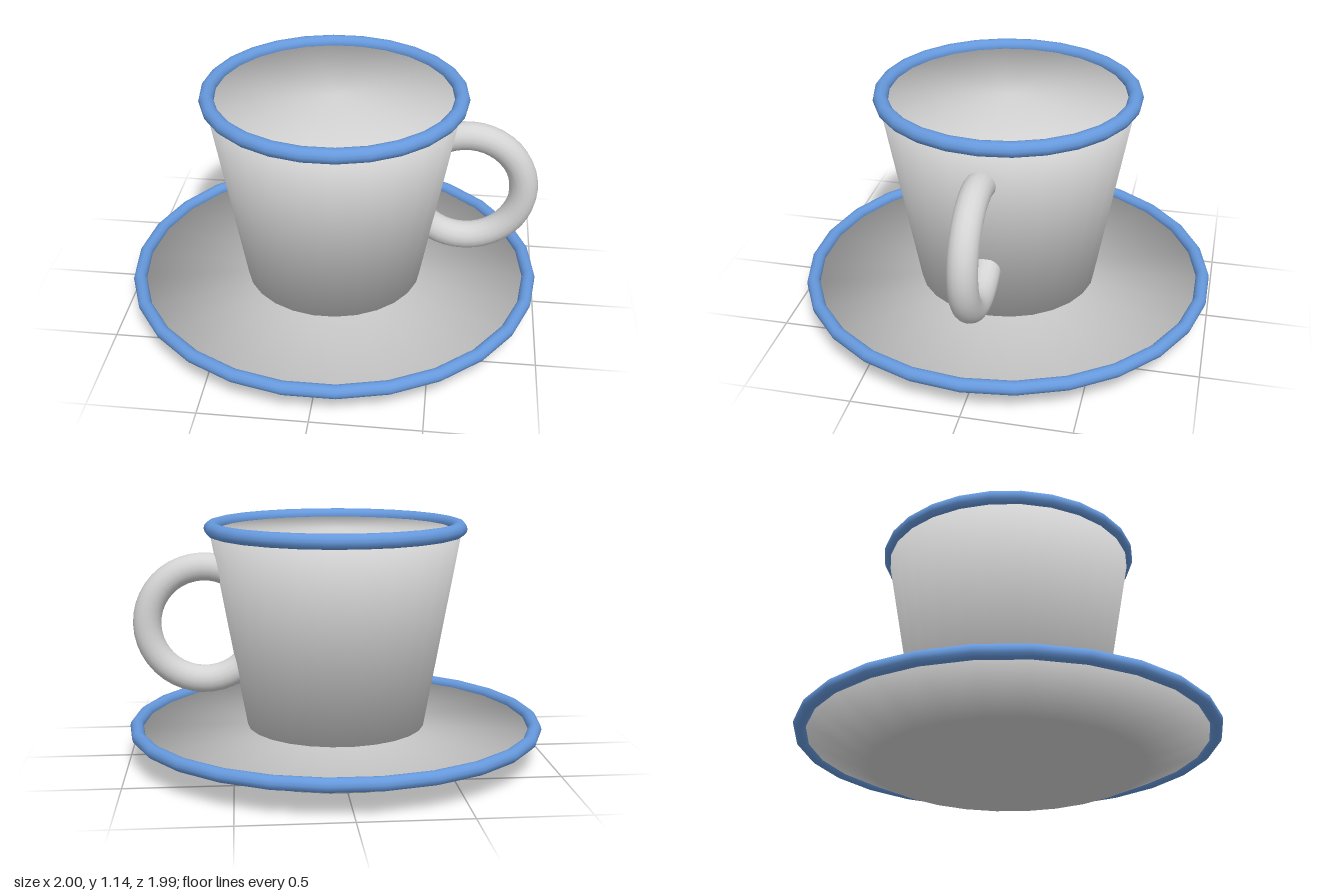
import * as THREE from 'three';

const SEGMENTS = 26;

// Solid tapered body whose rim normals blend between side and cap, for soft edges.
function softFrustum(topRadius, bottomRadius, y0, y1) {
  const height = y1 - y0;
  const geo = new THREE.CylinderGeometry(topRadius, bottomRadius, height, SEGMENTS);
  const pos = geo.attributes.position;
  const side = new THREE.Vector2(height, bottomRadius - topRadius).normalize();
  const n = new THREE.Vector3();
  for (let i = 0; i < pos.count; i++) {
    const x = pos.getX(i), z = pos.getZ(i), r = Math.hypot(x, z);
    const cap = Math.sign(pos.getY(i));
    if (r < 1e-6) n.set(0, cap, 0);
    else n.set((x / r) * side.x, side.y + 0.92 * cap, (z / r) * side.x).normalize();
    geo.attributes.normal.setXYZ(i, n.x, n.y, n.z);
  }
  // Line the corners up with those of the rims
  geo.rotateY(Math.PI / 2);
  geo.translate(0, (y0 + y1) / 2, 0);
  return geo;
}

// Horizontal rounded ring
function ring(radius, tube, y) {
  const geo = new THREE.TorusGeometry(radius, tube, 12, SEGMENTS);
  geo.rotateX(Math.PI / 2);
  geo.translate(0, y, 0);
  return geo;
}

export function createModel() {
  const model = new THREE.Group();
  model.name = 'cupAndSaucer';

  const china = new THREE.MeshStandardMaterial({ color: 0xd4d4d4 });
  china.name = 'china';
  const blue = new THREE.MeshStandardMaterial({ color: 0x6699dd });
  blue.name = 'blueGlaze';

  const add = (name, geometry, material) => {
    const mesh = new THREE.Mesh(geometry, material);
    mesh.name = name;
    model.add(mesh);
    return mesh;
  };

  // Saucer
  add('saucer', softFrustum(0.965, 0.65, 0, 0.145), china);
  add('saucerRim', ring(0.968, 0.032, 0.15), blue);

  // Cup
  add('cup', softFrustum(0.6, 0.43, 0.14, 1.1), china);
  add('cupRim', ring(0.59, 0.035, 1.105), blue);

  // Handle, an open ring whose ends sink into the cup wall
  const halfArc = THREE.MathUtils.degToRad(140);
  const handle = new THREE.TorusGeometry(0.273, 0.067, 16, 32, 2 * halfArc);
  handle.rotateZ(-halfArc);
  handle.translate(0.63, 0.65, 0);
  add('handle', handle, china);

  return model;
}
